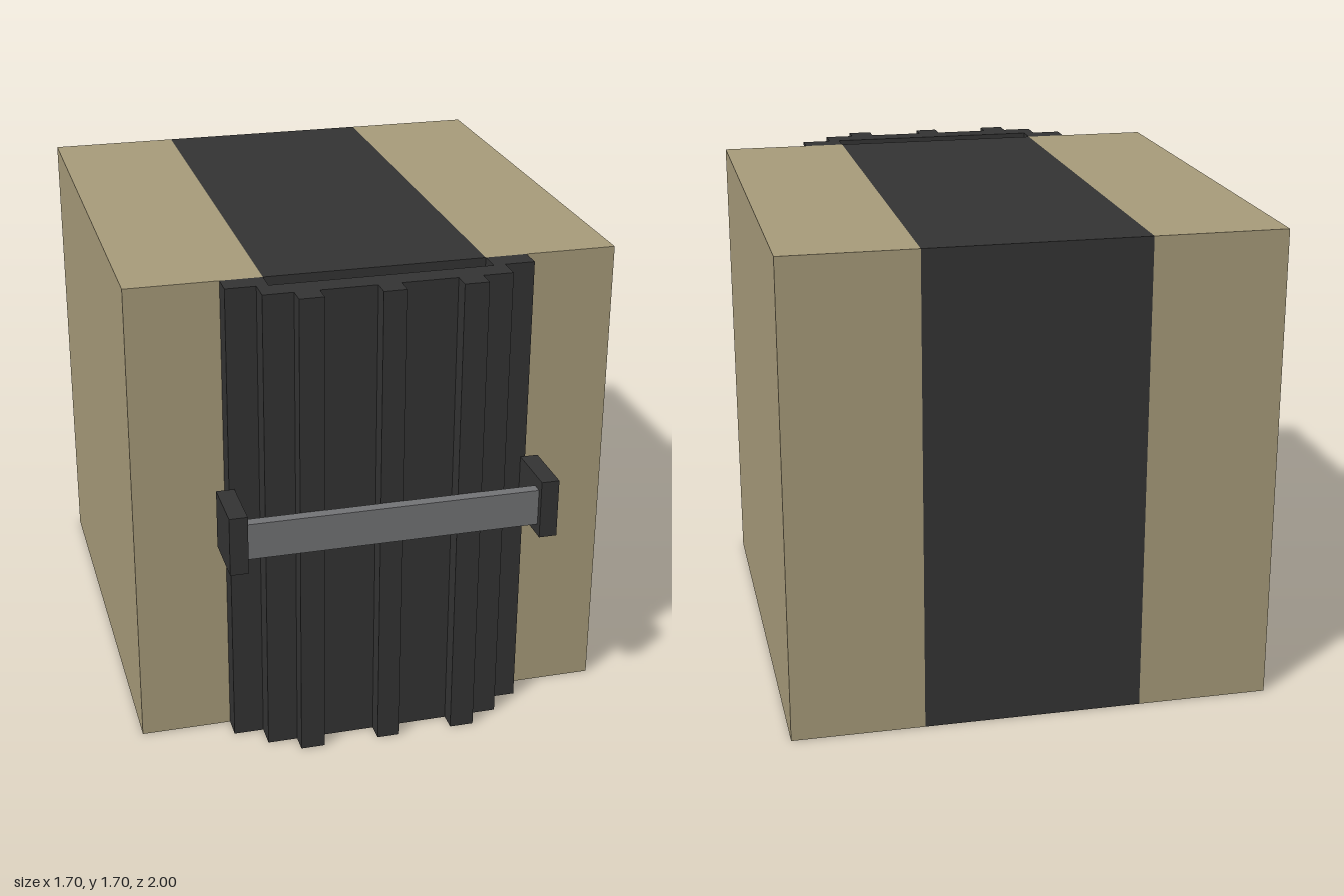
import * as THREE from 'three';

const tan = new THREE.MeshStandardMaterial({ color: 0xa89c7b });
tan.name = 'tan';
const charcoal = new THREE.MeshStandardMaterial({ color: 0x343434 });
charcoal.name = 'charcoal';
const steel = new THREE.MeshStandardMaterial({ color: 0x737476 });
steel.name = 'steel grey';

const HEIGHT = 1.7, HALF_WIDTH = 0.85, BACK = -1, FRONT = 0.705, BAND = 0.385;

function box(name, material, [x0, x1], [y0, y1], [z0, z1]) {
  const mesh = new THREE.Mesh(new THREE.BoxGeometry(x1 - x0, y1 - y0, z1 - z0), material);
  mesh.position.set((x0 + x1) / 2, (y0 + y1) / 2, (z0 + z1) / 2);
  mesh.name = name;
  return mesh;
}

// Crate with a dark band running around its top, back, bottom and front
function createCrate() {
  const geo = new THREE.BoxGeometry(HALF_WIDTH * 2, HEIGHT, FRONT - BACK, 3, 1, 1);
  const pos = geo.attributes.position;
  for (let i = 0; i < pos.count; i++) {
    const x = pos.getX(i);
    if (Math.abs(x) < HALF_WIDTH - 0.01) pos.setX(i, Math.sign(x) * BAND);
  }
  // Two plain side faces, then four faces of three strips each
  geo.clearGroups();
  geo.addGroup(0, 12, 0);
  for (let face = 0; face < 4; face++) {
    for (let strip = 0; strip < 3; strip++) {
      geo.addGroup(12 + (face * 3 + strip) * 6, 6, strip === 1 ? 1 : 0);
    }
  }
  const mesh = new THREE.Mesh(geo, [tan, charcoal]);
  mesh.position.set(0, HEIGHT / 2, (FRONT + BACK) / 2);
  mesh.name = 'crate';
  return mesh;
}

// Ribbed front panel: one stepped cross-section extruded to full height
function createPanel() {
  const half = [ // [x, z] from the centre rib outwards, then back along the inside
    [0.04, 0.935], [0.04, 0.87], [0.235, 0.87], [0.235, 0.935], [0.32, 0.935], [0.32, 0.87],
    [0.425, 0.87], [0.425, 0.785], [0.53, 0.785], [0.53, FRONT], [BAND, FRONT], [BAND, 0.785],
  ];
  const mirrored = half.map(([x, z]) => [-x, z]).reverse();
  const shape = new THREE.Shape([...half, ...mirrored].map(([x, z]) => new THREE.Vector2(x, -z)));
  const geo = new THREE.ExtrudeGeometry(shape, { depth: HEIGHT, bevelEnabled: false });
  geo.rotateX(-Math.PI / 2);
  const mesh = new THREE.Mesh(geo, charcoal);
  mesh.name = 'ribbedPanel';
  return mesh;
}

export function createModel() {
  const model = new THREE.Group();
  model.name = 'strappedCrate';
  model.add(createCrate(), createPanel());

  // Handle bar held between two brackets
  const handle = new THREE.Group();
  handle.name = 'handle';
  handle.add(
    box('leftBracket', charcoal, [0.512, 0.575], [0.77, 0.98], [0.787, 1]),
    box('rightBracket', charcoal, [-0.575, -0.512], [0.77, 0.98], [0.787, 1]),
    box('handleBar', steel, [-0.54, 0.54], [0.81, 0.94], [0.937, 0.977]),
  );
  model.add(handle);
  return model;
}
